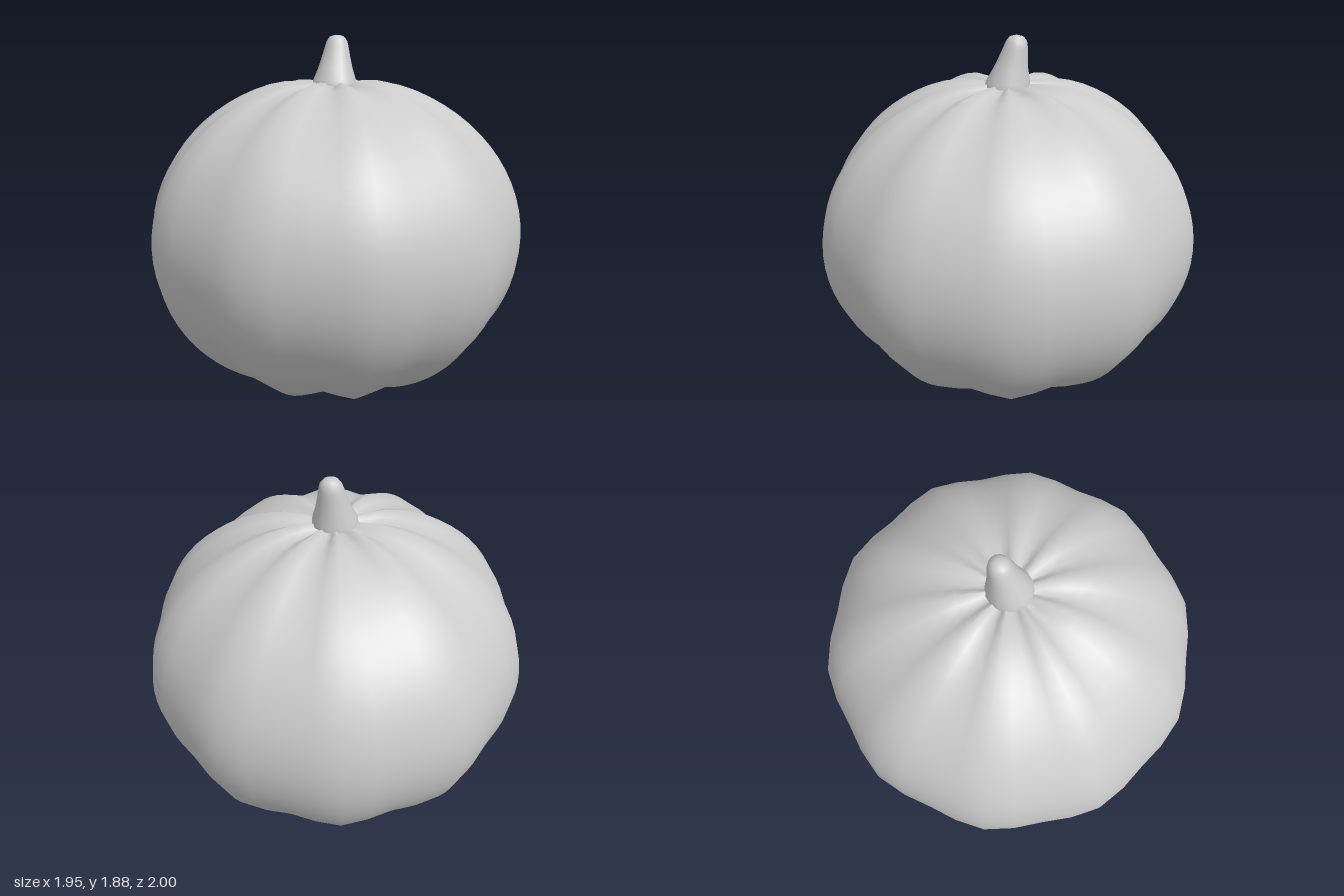
import * as THREE from 'three';
import { mergeVertices } from 'three/addons/utils/BufferGeometryUtils.js';

const LOBES = 10;
const CENTER_Y = 0.83;
const material = new THREE.MeshStandardMaterial({ color: 0xcccccc });

// Moves every vertex by a rule, then welds the seams and smooths the normals.
function reshape(geometry, rule) {
  const pos = geometry.attributes.position;
  const p = new THREE.Vector3();
  for (let i = 0; i < pos.count; i++) {
    rule(p.fromBufferAttribute(pos, i));
    pos.setXYZ(i, p.x, p.y, p.z);
  }
  geometry.deleteAttribute('uv');
  geometry.deleteAttribute('normal');
  const welded = mergeVertices(geometry, 1e-4);
  welded.computeVertexNormals();
  return welded;
}

// Squashed sphere with ten lobes and a shallow dimple at each pole.
function createBody() {
  const geometry = reshape(new THREE.SphereGeometry(1, 40, 36), (p) => {
    const r = Math.hypot(p.x, p.z);
    const angle = Math.atan2(p.x, p.z);
    const depth = (0.03 + 0.02 * p.y * p.y) * Math.min(1, r / 0.12);
    const groove = (depth * (1 - Math.cos(LOBES * angle))) / 2;
    const dimple = 0.05 * Math.exp(-((r / 0.2) ** 2)) * Math.sign(p.y);
    p.multiplyScalar(1 - groove);
    p.y = p.y * 0.86 - dimple + CENTER_Y;
  });
  const mesh = new THREE.Mesh(geometry, material);
  mesh.name = 'body';
  return mesh;
}

// Tapered stalk with a rounded tip, leaning backwards.
function createStem() {
  const profile = [
    [0.116, 1.635], [0.112, 1.66], [0.09, 1.72], [0.074, 1.78], [0.062, 1.83],
    [0.053, 1.86], [0.037, 1.88], [0.018, 1.887], [0, 1.888],
  ].map(([r, y]) => new THREE.Vector2(r, y));
  const geometry = reshape(new THREE.LatheGeometry(profile, 16), (p) => {
    const t = Math.min(1, Math.max(0, (p.y - 1.65) / 0.2));
    p.z -= 0.045 * t;
    p.x -= 0.006 * t;
  });
  const mesh = new THREE.Mesh(geometry, material);
  mesh.name = 'stem';
  return mesh;
}

export function createModel() {
  const group = new THREE.Group();
  group.name = 'pumpkin';
  group.add(createBody(), createStem());
  return group;
}
